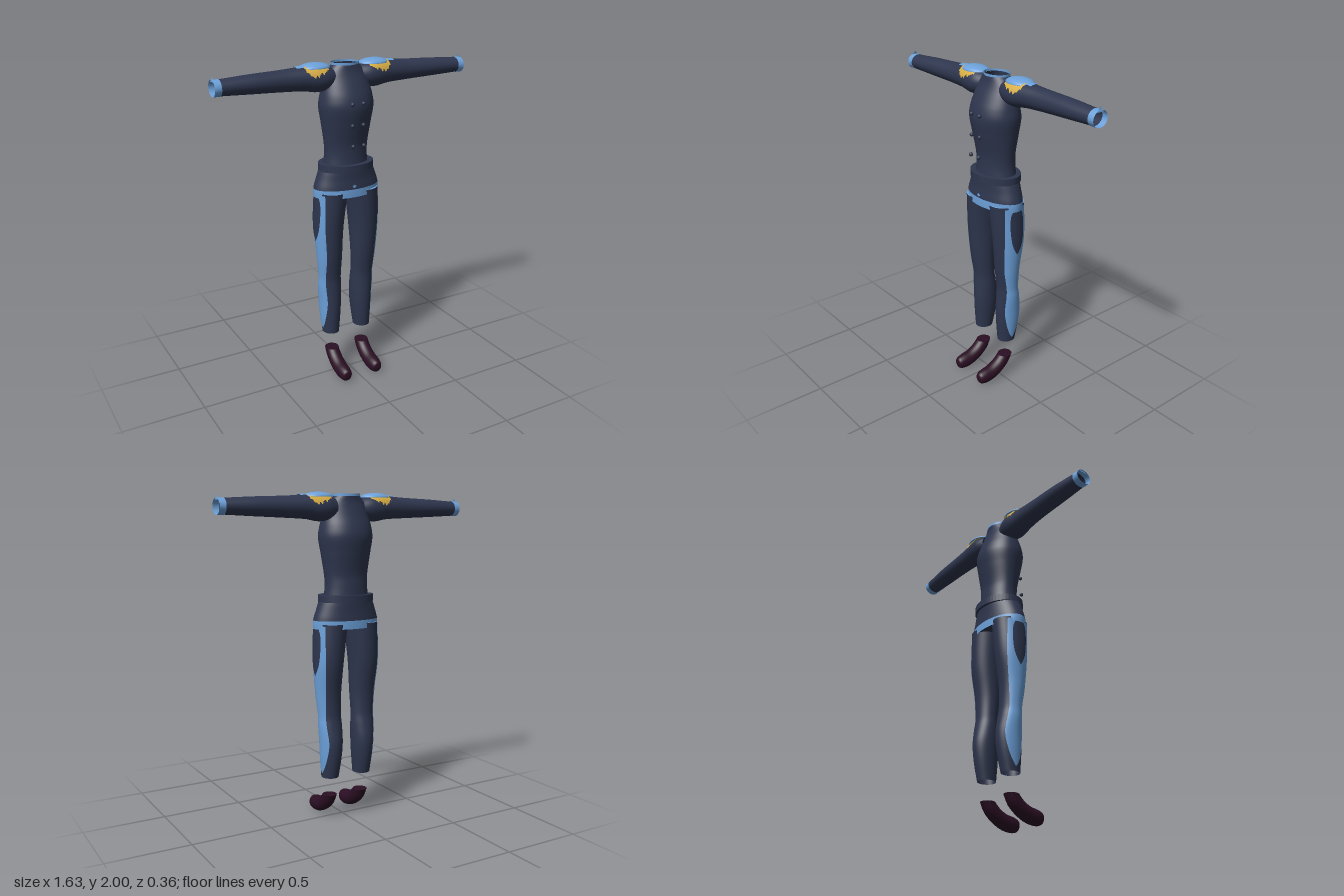
import * as THREE from 'three';
import { mergeVertices } from 'three/addons/utils/BufferGeometryUtils.js';

const material = (name, color) => {
  const m = new THREE.MeshStandardMaterial({ color, side: THREE.DoubleSide });
  m.name = name;
  return m;
};

// Smooth interpolation of table rows, keyed on the first column (ascending)
function at(rows, k) {
  let i = 0;
  while (i < rows.length - 2 && k > rows[i + 1][0]) i++;
  const p = rows[i], q = rows[i + 1];
  const o = rows[Math.max(i - 1, 0)], r = rows[Math.min(i + 2, rows.length - 1)];
  const h = q[0] - p[0], t = THREE.MathUtils.clamp((k - p[0]) / h, 0, 1);
  return p.slice(1).map((a, j) => {
    const b = q[j + 1];
    const m0 = (b - o[j + 1]) / (q[0] - o[0]) * h;
    const m1 = (r[j + 1] - a) / (r[0] - p[0]) * h;
    return a + t * m0 + t * t * (3 * (b - a) - 2 * m0 - m1) + t * t * t * (2 * (a - b) + m0 + m1);
  });
}

// Grid surface from fn(u, v); keep(centre) may cut openings
function surface(name, mat, fn, nu, nv, keep) {
  const pos = [], index = [];
  for (let j = 0; j <= nv; j++)
    for (let i = 0; i <= nu; i++) pos.push(...fn(i / nu, j / nv));
  for (let j = 0; j < nv; j++)
    for (let i = 0; i < nu; i++) {
      if (keep && !keep(fn((i + 0.5) / nu, (j + 0.5) / nv))) continue;
      const a = j * (nu + 1) + i, b = a + 1, c = a + nu + 1, d = c + 1;
      index.push(a, c, b, b, c, d);
    }
  let geo = new THREE.BufferGeometry();
  geo.setAttribute('position', new THREE.Float32BufferAttribute(pos, 3));
  geo.setIndex(index);
  geo = mergeVertices(geo, 1e-5);
  geo.computeVertexNormals();
  const mesh = new THREE.Mesh(geo, mat);
  mesh.name = name;
  return mesh;
}

const TAU = Math.PI * 2, DEG = Math.PI / 180, { lerp } = THREE.MathUtils;

// Body tables: y, half width, front z, back z
const TORSO = [
  [1.37, 0.145, 0.06, -0.15], [1.45, 0.136, 0.055, -0.145], [1.52, 0.139, 0.058, -0.142],
  [1.65, 0.157, 0.085, -0.163], [1.74, 0.17, 0.1, -0.175], [1.8, 0.163, 0.09, -0.165],
  [1.86, 0.148, 0.065, -0.143], [1.92, 0.13, 0.035, -0.122], [1.95, 0.11, 0.024, -0.115],
  [1.98, 0.083, 0.018, -0.115]];
const SKIRT = [
  [1.2, 0.214, 0.08, -0.16], [1.25, 0.214, 0.08, -0.16], [1.31, 0.195, 0.074, -0.157],
  [1.37, 0.172, 0.074, -0.157], [1.39, 0.16, 0.07, -0.155]];
// Leg: y, outer x, inner x, front z, back z
const LEG = [
  [0.275, 0.165, 0.06, 0.015, -0.1], [0.4, 0.174, 0.048, 0.024, -0.127], [0.5, 0.179, 0.042, 0.026, -0.135],
  [0.6, 0.186, 0.041, 0.021, -0.12], [0.66, 0.185, 0.044, 0.02, -0.11], [0.8, 0.198, 0.04, 0.038, -0.112],
  [1.0, 0.211, 0.03, 0.056, -0.142], [1.23, 0.203, 0.004, 0.075, -0.154]];
// Sleeve: x, top y, bottom y, front z, back z
const SLEEVE = [
  [0.09, 1.965, 1.85, 0.012, -0.112], [0.14, 1.981, 1.835, 0.028, -0.13], [0.2, 1.987, 1.831, 0.03, -0.132],
  [0.27, 1.983, 1.843, 0.02, -0.123], [0.4, 1.974, 1.85, 0.01, -0.116], [0.6, 1.966, 1.858, 0.01, -0.11],
  [0.78, 1.956, 1.866, 0.008, -0.095], [0.815, 1.955, 1.866, 0.008, -0.093]];
// Shoe: step, top z, top y, bottom z, bottom y, half width
const SHOE = [
  [0, 0.188, 0.05, 0.188, 0.046, 0.002], [0.3, 0.183, 0.078, 0.178, 0.014, 0.027],
  [1, 0.15, 0.094, 0.14, 0.002, 0.041], [2, 0.09, 0.106, 0.08, 0.01, 0.045],
  [3, 0.045, 0.128, 0.015, 0.04, 0.045], [4, 0.018, 0.152, -0.045, 0.09, 0.044], [5, 0.012, 0.156, -0.08, 0.156, 0.044]];

const bodyPoint = (rows, y, u) => {
  const [w, f, b] = at(rows, y);
  return [w * Math.cos(u * TAU), y, (f + b) / 2 + (f - b) / 2 * Math.sin(u * TAU)];
};
const legPoint = (s, y, a, d = 0) => {
  const [o, i, f, b] = at(LEG, y);
  return [s * ((o + i) / 2 + ((o - i) / 2 + d) * Math.cos(a)), y, (f + b) / 2 + ((f - b) / 2 + d) * Math.sin(a)];
};
const sleevePoint = (s, x, a, d = 0) => {
  const [t, o, f, b] = at(SLEEVE, x);
  return [s * x, (t + o) / 2 + ((t - o) / 2 + d) * Math.sin(a), (f + b) / 2 + ((f - b) / 2 + d) * Math.cos(a)];
};

export function createModel() {
  const navy = material('navy cloth', 0x2e364e);
  const blue = material('light blue trim', 0x6ca1da);
  const gold = material('gold fringe', 0xd6ac42);
  const plum = material('dark plum leather', 0x2b0f24);
  const model = new THREE.Group();
  model.name = 'uniform';
  const put = (name, geo, mat, x = 0, y = 0, z = 0) => {
    const m = new THREE.Mesh(geo, mat);
    m.name = name;
    m.position.set(x, y, z);
    model.add(m);
    return m;
  };

  // Jacket body with open armholes
  model.add(surface('jacketBody', navy, (u, v) => bodyPoint(TORSO, lerp(1.37, 1.98, v), u), 64, 70,
    ([x, y, z]) => Math.abs(x) < 0.05 || Math.hypot(y - 1.91, z + 0.045) > 0.052));
  model.add(surface('collar', blue, (u, v) => {
    const p = bodyPoint(TORSO, 1.98, u);
    return [p[0] * 1.03, 1.976 + 0.015 * v, p[2] * 1.03];
  }, 48, 1));

  // Skirt of the jacket, its hem and underside
  model.add(surface('jacketSkirt', navy, (u, v) => bodyPoint(SKIRT, lerp(1.25, 1.39, v), u), 48, 10));
  model.add(surface('hem', blue, (u, v) => bodyPoint(SKIRT, lerp(1.2, 1.25, v), u), 48, 3));
  model.add(surface('skirtUnderside', navy, (u, v) => {
    const p = bodyPoint(SKIRT, 1.21, u);
    return [p[0] * v, 1.21, -0.04 + (p[2] + 0.04) * v];
  }, 48, 1));
  const clasp = put('clasp', new THREE.CircleGeometry(0.016, 4), blue, -0.008, 1.27, 0.082);
  clasp.scale.y = 0.7;

  // Belt
  const ring = new THREE.Shape().absellipse(0, 0, 0.176, 0.132, 0, TAU);
  ring.holes.push(new THREE.Path().absellipse(0, 0, 0.135, 0.1, 0, TAU));
  const band = new THREE.ExtrudeGeometry(ring, { depth: 0.042, bevelEnabled: false, curveSegments: 24 });
  put('belt', band.rotateX(-Math.PI / 2), navy, 0, 1.358, -0.042);

  // Depth of the hanging fringe, in degrees round the sleeve
  const fringe = [34, 26, 18, 12, 10, 20, 12, 24, 30, 22, 30, 36, 42];

  for (const s of [1, -1]) {
    const side = s > 0 ? 'left' : 'right';

    // Two rows of buttons
    for (const [y, z] of [[1.77, 0.107], [1.645, 0.107], [1.525, 0.114]])
      put(side + 'Button', new THREE.SphereGeometry(0.012, 12, 8), navy, s * 0.036, y, z);

    // Sleeve and cuff with its small point
    model.add(surface(side + 'Sleeve', navy, (u, v) => sleevePoint(s, lerp(0.09, 0.778, v), u * TAU), 36, 36));
    model.add(surface(side + 'Cuff', blue, (u, v) => sleevePoint(s, lerp(0.775, 0.815, v), u * TAU, 0.002), 36, 2));
    model.add(surface(side + 'CuffPoint', blue, (u, v) => [
      s * (0.812 - 0.006 * v), 1.945 + 0.031 * v, -0.043 + (u - 0.5) * 0.05 * (1 - v)], 4, 4));

    // Shoulder board with strap and jagged fringe at front and back
    const board = put(side + 'ShoulderBoard', new THREE.SphereGeometry(1, 32, 8, 0, TAU, 0, Math.PI / 2), blue, s * 0.195, 1.97, -0.054);
    board.scale.set(0.094, 0.029, 0.071);
    model.add(surface(side + 'ShoulderStrap', blue, (u, v) =>
      sleevePoint(s, lerp(0.24, 0.32, v), lerp(65, 115, u) * DEG, 0.005), 8, 6));
    for (const front of [true, false])
      model.add(surface(side + 'Fringe', gold, (u, v) => {
        const low = fringe[Math.min(Math.floor((1 - v) * fringe.length), fringe.length - 1)];
        const a = lerp(low, 72, u) * DEG;
        return sleevePoint(s, lerp(0.135, 0.275, v), front ? a : Math.PI - a, 0.006);
      }, 8, 26));

    // Trouser leg with side stripe, dark inset and closed top
    model.add(surface(side + 'TrouserLeg', navy, (u, v) => legPoint(s, lerp(0.275, 1.23, v), u * TAU), 40, 48));
    const strip = (name, mat, rows, d) => {
      const y0 = rows[0][0], y1 = rows[rows.length - 1][0];
      model.add(surface(side + name, mat, (u, v) => {
        const y = lerp(y0, y1, v);
        return legPoint(s, y, (u * 2 - 1) * at(rows, y)[0] * DEG, d);
      }, 20, 48));
    };
    strip('TrouserStripe', blue, [[0.305, 4], [0.34, 22], [0.42, 40], [0.5, 48], [0.6, 46], [0.66, 44], [0.8, 52], [1, 49], [1.22, 40]], 0.002);
    strip('StripeInset', navy, [[0.915, 0], [0.95, 13], [1.0, 23], [1.1, 27], [1.17, 23], [1.205, 15]], 0.004);
    model.add(surface(side + 'TrouserTop', blue, (u, v) => {
      const p = legPoint(s, 1.23, u * TAU);
      return [s * 0.104 + (p[0] - s * 0.104) * v, 1.23, -0.04 + (p[2] + 0.04) * v];
    }, 40, 1));

    // Shoe, closed flat at the ankle
    const shoePoint = (k, u) => {
      const [tz, ty, bz, by, w] = at(SHOE, k), c = Math.cos(u * TAU) / 2;
      return [s * 0.11 + w * Math.sin(u * TAU), (ty + by) / 2 + (ty - by) * c, (tz + bz) / 2 + (tz - bz) * c];
    };
    model.add(surface(side + 'Shoe', plum, (u, v) => shoePoint(5 * v * v, u), 28, 28));
    model.add(surface(side + 'ShoeTop', plum, (u, v) => {
      const p = shoePoint(5, u);
      return [s * 0.11 + (p[0] - s * 0.11) * v, 0.156, -0.034 + (p[2] + 0.034) * v];
    }, 28, 1));
  }
  return model;
}
